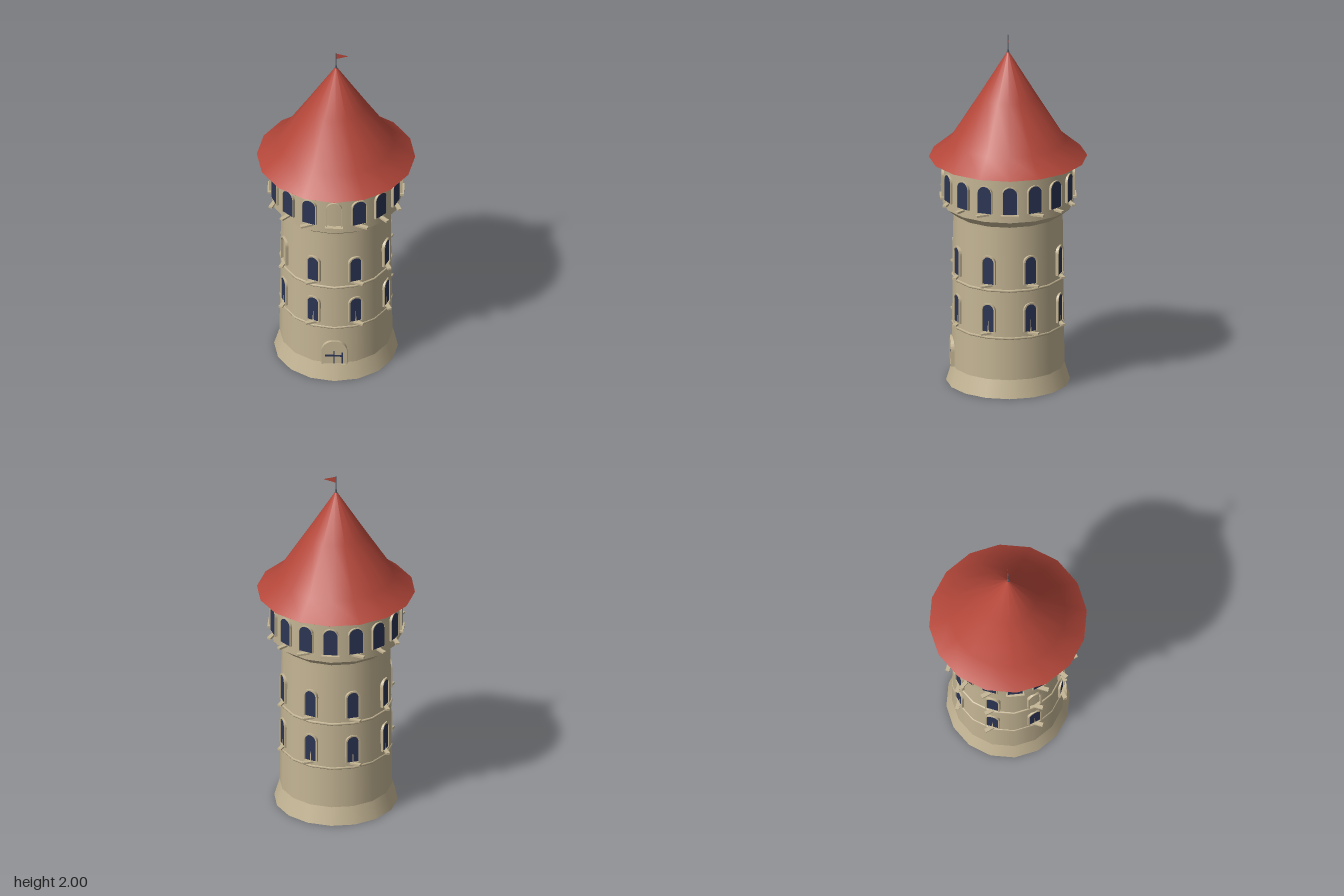
import * as THREE from 'three';

const SIDES = 16;
const mat = (name, color, side = THREE.FrontSide) => {
  const m = new THREE.MeshStandardMaterial({ color, side });
  m.name = name;
  return m;
};

// Arched outline: straight jambs with a round head, bottom at y = 0
function archPath(path, half, height) {
  path.moveTo(-half, 0);
  path.lineTo(half, 0);
  path.lineTo(half, height - half);
  path.absarc(0, height - half, half, 0, Math.PI, false);
  path.lineTo(-half, 0);
  return path;
}

function archGeometry(half, height, depth, rim = 0) {
  const shape = archPath(new THREE.Shape(), half + rim, height + rim);
  if (rim) shape.holes.push(archPath(new THREE.Path(), half, height));
  const g = new THREE.ExtrudeGeometry(shape, { depth, bevelEnabled: false, curveSegments: 8 });
  return g.translate(0, 0, -depth);
}

export function createModel() {
  const stone = mat('stone', 0xc4b594);
  const shell = mat('stone', 0xc4b594, THREE.DoubleSide);
  shell.name = 'stoneShell';
  const red = mat('roofRed', 0xb5473a, THREE.DoubleSide);
  const glass = mat('darkGlass', 0x2c3554);
  const iron = mat('iron', 0x5c6270);

  const model = new THREE.Group();
  const add = (name, geometry, material, parent = model) => {
    const mesh = new THREE.Mesh(geometry, material);
    mesh.name = name;
    parent.add(mesh);
    return mesh;
  };
  const section = (name, y0, r0, y1, r1) =>
    add(name, new THREE.CylinderGeometry(r1, r0, y1 - y0, SIDES, 1, true), shell)
      .position.y = (y0 + y1) / 2;

  // Tower walls, open underneath
  section('base', 0, 0.34, 0.1, 0.31);
  section('shaft', 0.1, 0.31, 0.97, 0.3);
  section('corbelLip', 0.97, 0.305, 0.985, 0.305);
  section('corbel', 0.985, 0.305, 1.03, 0.36);
  section('drum', 1.03, 0.36, 1.28, 0.36);
  section('cornice', 1.275, 0.365, 1.298, 0.375);

  // Thin string courses between floors
  for (const y of [0.34, 0.615]) {
    const band = add('stringCourse', new THREE.TorusGeometry(0.304, 0.008, 6, SIDES), stone);
    band.rotation.set(-Math.PI / 2, 0, 0);
    band.position.y = y;
  }

  // Roof with flared eaves and a flat soffit
  const profile = [[0.435, 1.298], [0.32, 1.395], [0.16, 1.65], [0.004, 1.905]];
  add('roof', new THREE.LatheGeometry(profile.map(p => new THREE.Vector2(...p)), SIDES), red);
  const soffit = add('soffit', new THREE.RingGeometry(0.35, 0.434, SIDES), red);
  soffit.rotation.x = Math.PI / 2;
  soffit.position.y = 1.299;

  // Windows: pane, surround and a sill that is skewed against the wall
  function addWindow(spec, angle, y, hasPane) {
    const win = new THREE.Group();
    win.name = 'window';
    win.position.set(Math.sin(angle) * spec.radius, y, Math.cos(angle) * spec.radius);
    win.rotation.y = angle;
    if (hasPane) add('pane', spec.pane, glass, win);
    add('surround', spec.frame, stone, win);
    const sill = add('sill', spec.sill, stone, win);
    sill.position.y = -0.01;
    sill.rotation.y = -2 * angle;
    model.add(win);
  }

  const shaftWindow = {
    radius: 0.306,
    pane: archGeometry(0.031, 0.155, 0.0095),
    frame: archGeometry(0.033, 0.157, 0.018, 0.009).translate(0, 0, 0.005),
    sill: new THREE.BoxGeometry(0.092, 0.011, 0.022),
  };
  for (const y of [0.375, 0.65]) {
    for (let i = 0; i < 8; i++) {
      addWindow(shaftWindow, (i + 0.5) * Math.PI / 4, y, !(y > 0.6 && i === 6));
    }
  }

  const drumWindow = {
    radius: 0.364,
    pane: archGeometry(0.039, 0.155, 0.0099),
    frame: archGeometry(0.039, 0.155, 0.014, 0.005).translate(0, 0, 0.002),
    sill: new THREE.BoxGeometry(0.1, 0.011, 0.022),
  };
  for (let i = 0; i < 16; i++) {
    addWindow(drumWindow, i * Math.PI / 8, 1.08, i !== 0);
  }

  // Arched door with dark fittings
  const door = new THREE.Group();
  door.name = 'door';
  door.position.set(0, 0.1, 0.312);
  add('doorLeaf', archGeometry(0.062, 0.147, 0.015), stone, door);
  add('doorSurround', archGeometry(0.062, 0.147, 0.025, 0.009).translate(0, 0, 0.006), stone, door);
  for (const [name, x, y, w, h] of [
    ['crossBar', -0.005, 0.055, 0.09, 0.01],
    ['uprightBar', -0.002, 0.045, 0.006, 0.085],
    ['handle', 0.043, 0.04, 0.008, 0.075],
  ]) {
    add(name, new THREE.BoxGeometry(w, h, 0.006), glass, door).position.set(x, y, 0.001);
  }
  model.add(door);

  // Finial, pole and pennant
  add('finial', new THREE.CylinderGeometry(0.006, 0.008, 0.035, 8), iron).position.y = 1.9;
  add('flagPole', new THREE.CylinderGeometry(0.003, 0.003, 0.1, 6), iron).position.y = 1.95;
  const pennant = new THREE.Shape([
    new THREE.Vector2(0, 1.96), new THREE.Vector2(0.07, 1.98), new THREE.Vector2(0, 1.998),
  ]);
  add('pennant', new THREE.ShapeGeometry(pennant), red);

  return model;
}
